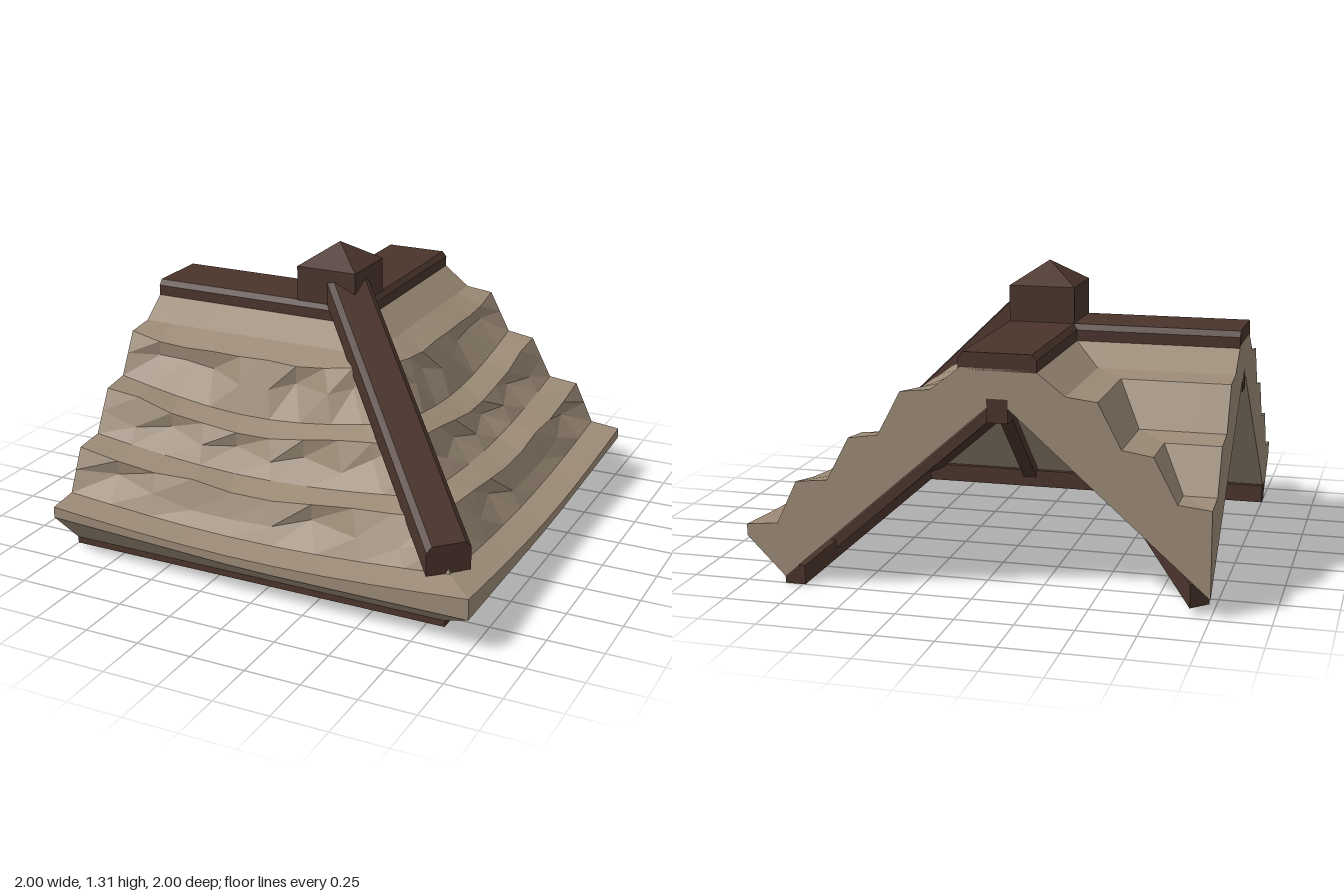
import * as THREE from 'three';

const thatch = new THREE.MeshStandardMaterial({ color: 0x9b8a76 });
const timber = new THREE.MeshStandardMaterial({ color: 0x4a342c });
thatch.name = 'straw thatch';
timber.name = 'dark timber';

const RIDGE = -0.115; // plan position of both ridge lines

// Flat-faced surface through rings of points; caps are optional 2D outlines
function loft(rings, startCap, endCap) {
  const pos = [];
  const tri = (a, b, c) => {
    const area = b.clone().sub(a).cross(c.clone().sub(a)).length();
    if (area > 1e-7) for (const p of [a, b, c]) pos.push(p.x, p.y, p.z);
  };
  for (let i = 0; i < rings.length - 1; i++) {
    const r = rings[i], s = rings[i + 1], n = r.length;
    for (let j = 0; j < n; j++) {
      const k = (j + 1) % n;
      tri(r[j], s[j], s[k]);
      tri(r[j], s[k], r[k]);
    }
  }
  const last = rings[rings.length - 1];
  if (startCap) for (const [a, b, c] of THREE.ShapeUtils.triangulateShape(startCap, []))
    tri(rings[0][a], rings[0][b], rings[0][c]);
  if (endCap) for (const [a, b, c] of THREE.ShapeUtils.triangulateShape(endCap, []))
    tri(last[a], last[c], last[b]);
  const g = new THREE.BufferGeometry();
  g.setAttribute('position', new THREE.Float32BufferAttribute(pos, 3));
  g.computeVertexNormals();
  return g;
}

// Sweep a (z, y) profile along x from the open end to the diagonal mitre
function mitreSweep(profile, columns, wobble) {
  const rings = [];
  for (let i = 0; i <= columns; i++) {
    const t = i / columns;
    rings.push(profile.map((p, j) => {
      const [d, y] = wobble ? wobble(p, j, t, i) : p;
      return new THREE.Vector3(-1 + t * (d + 1), y, d);
    }));
  }
  return loft(rings, rings[0].map(p => new THREE.Vector2(p.z, p.y)));
}

// Straight timber whose bottom centre runs from a to b, with plumb-cut ends
function beam(a, b, width, height, chamfer = 0) {
  const w = width / 2, c = chamfer;
  const sec = c
    ? [[w, 0], [w, height - c], [w - c, height], [c - w, height], [-w, height - c], [-w, 0]]
    : [[w, 0], [w, height], [-w, height], [-w, 0]];
  const dir = new THREE.Vector3(b[0] - a[0], 0, b[2] - a[2]).normalize();
  const ring = p => sec.map(([u, v]) =>
    new THREE.Vector3(p[0] - dir.z * u, p[1] + v, p[2] + dir.x * u));
  const cap = sec.map(([u, v]) => new THREE.Vector2(u, v));
  return loft([ring(a), ring(b)], cap, cap);
}

// Mirror across the diagonal x = z, keeping faces outward
function swapped(g) {
  const p = g.attributes.position.array, out = [];
  for (let i = 0; i < p.length; i += 9)
    for (const k of [0, 6, 3]) out.push(p[i + k + 2], p[i + k + 1], p[i + k]);
  const m = new THREE.BufferGeometry();
  m.setAttribute('position', new THREE.Float32BufferAttribute(out, 3));
  m.computeVertexNormals();
  return m;
}

// Repeatable irregularity for the straw courses
const noise = (a, b) => {
  const s = Math.sin(a * 12.9898 + b * 78.233) * 43758.5453;
  return s - Math.floor(s);
};

// Height of the thatch underside at plan distance d
const underY = d => 0.86 - 0.878 * Math.abs(d - RIDGE);

export function createModel() {
  const root = new THREE.Group();
  root.name = 'thatchedRoofCorner';
  const add = (name, g, m) => {
    const mesh = new THREE.Mesh(g, m);
    mesh.name = name;
    root.add(mesh);
  };
  const pair = (name, g, m) => {
    add(name + 'Front', g, m);
    add(name + 'Right', swapped(g), m);
  };

  // Stepped thatch: eave, outer courses, ridge, inner courses, underside
  const outer = [
    [0.83, 0.03], [1, 0.2], [1, 0.25],
    [0.86, 0.265], [0.815, 0.36], [0.77, 0.455],
    [0.63, 0.47], [0.58, 0.565], [0.53, 0.66],
    [0.40, 0.68], [0.35, 0.775], [0.30, 0.87],
    [0.17, 0.885], [0.04, 0.985],
  ];
  const mirror = d => 2 * RIDGE - d;
  const inner = outer.slice(5).filter((p, j) => j !== 2 && j !== 5)
    .reverse().map(([d, y]) => [mirror(d), y]);
  const profile = [...outer, ...inner, [-1, underY(-1)], [RIDGE, underY(RIDGE)]];

  // Sag and ragged edges of the outer courses, row by row
  const sags = [0, 0, 0.05, 0.05, 0.065, 0.065, 0.065, 0.09, 0.09, 0.09, 0.05, 0.05];
  const wobble = ([d, y], j, t, i) => {
    if (j === 0 || j > 11) return [d, y];
    if (j === 1) return [d, y - 0.045 * Math.min(1, t * 2)];
    const inside = t > 0 && t < 1;
    let dd = d;
    let yy = y - sags[j] * Math.sin(Math.PI * t);
    if (j > 2) {
      const n = noise(i, j);
      const kind = j % 3; // 0 foot, 1 middle, 2 lip of a course
      if (kind === 1 && inside) {
        dd -= n > 0.6 ? 0.055 : 0;
        yy += (n - 0.5) * 0.05;
      }
      if (kind === 2) {
        if (inside) yy += (n - 0.5) * 0.03;
        const soften = Math.max(0, t - 0.75) * 4; // rounder toward the hip
        dd -= 0.035 * soften;
        yy -= 0.015 * soften;
      }
    }
    return [dd, yy];
  };
  pair('thatch', mitreSweep(profile, 9, wobble), thatch);

  // Ridge capping boards
  const capping = [[0.05, 0.975], [0.05, 1.025], [0.03, 1.05],
    [mirror(0.03), 1.05], [mirror(0.05), 1.025], [mirror(0.05), 0.975]];
  pair('ridgeCap', mitreSweep(capping, 1), timber);

  // Corner post with pyramid top
  const post = new THREE.BoxGeometry(0.295, 0.3, 0.295);
  post.translate(RIDGE, 1.06, RIDGE);
  add('cornerPost', post, timber);
  const tip = new THREE.ConeGeometry(0.295 / Math.SQRT2, 0.1, 4, 1).toNonIndexed();
  tip.rotateY(Math.PI / 4).translate(RIDGE, 1.26, RIDGE);
  tip.computeVertexNormals();
  add('postTip', tip, timber);

  // Hip beam laid over the outer corner
  add('hipBeam', beam([-0.08, 1.08, -0.08], [0.85, 0.265, 0.85], 0.2, 0.13, 0.025), timber);

  // Under-roof framing
  pair('eaveBeam', beam([-1, 0, 0.785], [0.83, 0, 0.785], 0.09, 0.085), timber);
  pair('ridgePurlin', beam([-1, 0.76, RIDGE], [-0.07, 0.76, RIDGE], 0.09, 0.1), timber);
  const rafter = (s0, s1, drop) => [[s0, underY(s0) - drop, s0], [s1, underY(s1) - drop, s1]];
  add('valleyRafter', beam(...rafter(RIDGE, -0.95, 0.09), 0.1, 0.1), timber);
  add('hipRafter', beam(...rafter(RIDGE, 0.76, 0.07), 0.1, 0.08), timber);
  const jack = (x, z0, z1) =>
    beam([x, underY(z0) - 0.06, z0], [x, underY(z1) - 0.06, z1], 0.07, 0.07);
  pair('longRafter', jack(-0.6, RIDGE, 0.77), timber);
  pair('shortRafter', jack(0.2, 0.2, 0.77), timber);
  pair('innerRafter', jack(-0.6, RIDGE, -0.6), timber);

  return root;
}
